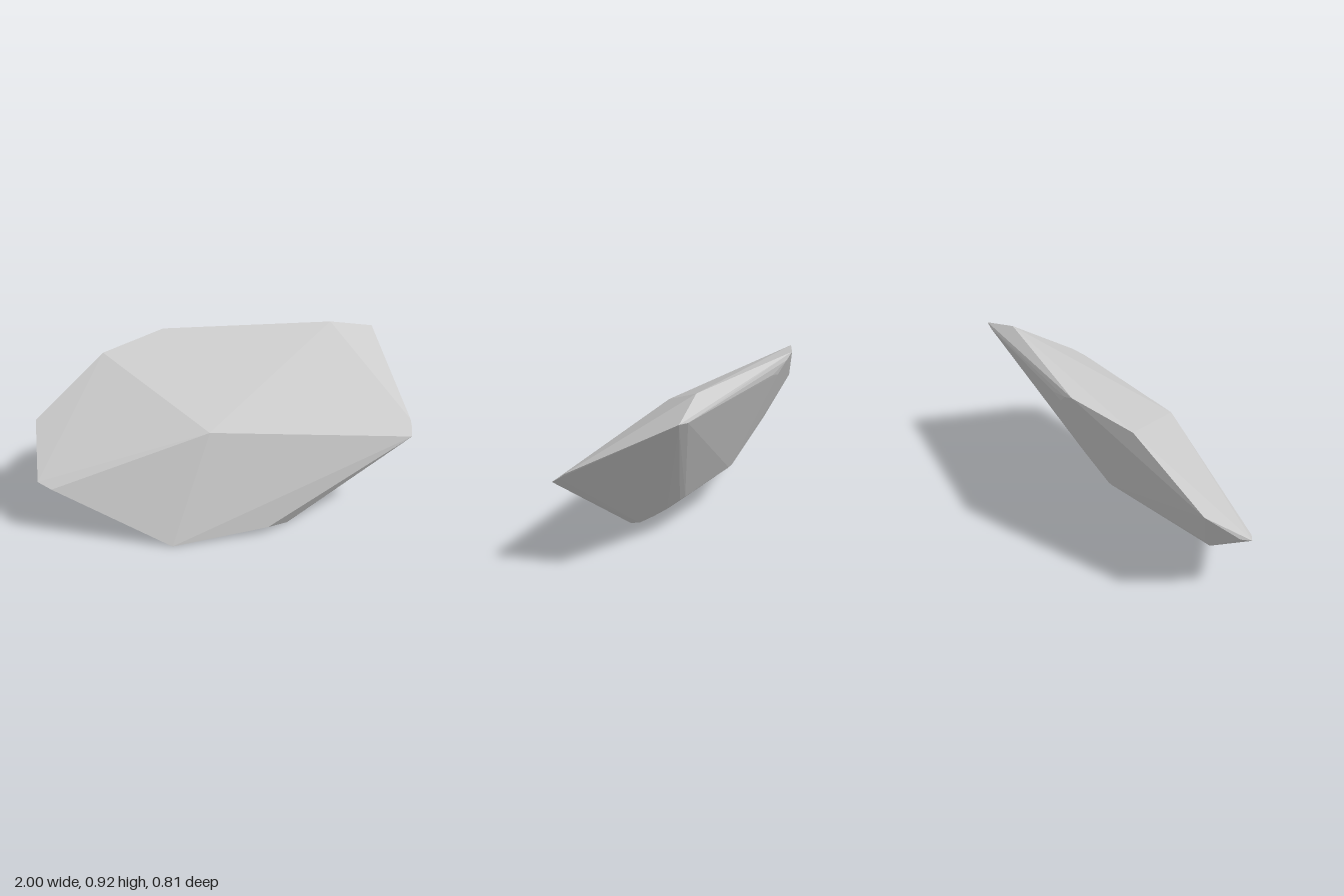
import * as THREE from 'three';
import { ConvexGeometry } from 'three/addons/geometries/ConvexGeometry.js';

// Corners of the faceted boulder, grouped by region
const corners = [
  // front apex and upper rim
  [-0.1, 0.588, 0.258], [-0.62, 0.847, -0.25], [-0.28, 0.907, -0.405], [0.66, 0.923, -0.345],
  // back rim and the chamfer under it
  [-0.2, 0.88, -0.41], [0.85, 0.85, -0.41], [0.92, 0.862, -0.405],
  [-0.04, 0.84, -0.406], [-0.12, 0.82, -0.397],
  // left tip
  [1, 0.545, 0.17], [1, 0.52, 0.2], [0.988, 0.485, 0.253],
  // right end, with the low corner behind it
  [-1, 0.55, -0.08], [-1, 0.33, 0.2], [-1, 0.36, 0.13], [-0.93, 0.305, 0.245],
  [-0.87, 0.268, 0.045], [-0.86, 0.3, 0.02],
  // foot
  [-0.32, 0, 0.405], [0.2, 0.045, 0.358], [0.32, 0, 0.26], [-0.28, 0, 0.37],
  // lower corners of the back face
  [0.34, 0.21, -0.065], [0.31, 0.22, -0.08], [-0.14, 0.255, -0.125], [-0.1, 0.248, -0.123],
];

// Worn, rounded underside: the same curve swept from the left edge to the middle
const wornCurve = [[0.25, 0.001], [0.19, 0.018], [0.1, 0.077], [0.02, 0.135]];
for (const [z, y] of wornCurve) {
  for (let i = 0; i < 4; i++) {
    const t = i / 3;
    corners.push([0.335 - 0.38 * t, y + 0.014 * t * t, z - 0.02 * t]);
  }
}

export function createModel() {
  const group = new THREE.Group();
  group.name = 'rock';
  const geometry = new ConvexGeometry(corners.map((p) => new THREE.Vector3(...p)));
  const boulder = new THREE.Mesh(
    geometry,
    new THREE.MeshStandardMaterial({ color: 0xcccccc, flatShading: true })
  );
  boulder.name = 'boulder';
  group.add(boulder);
  return group;
}
